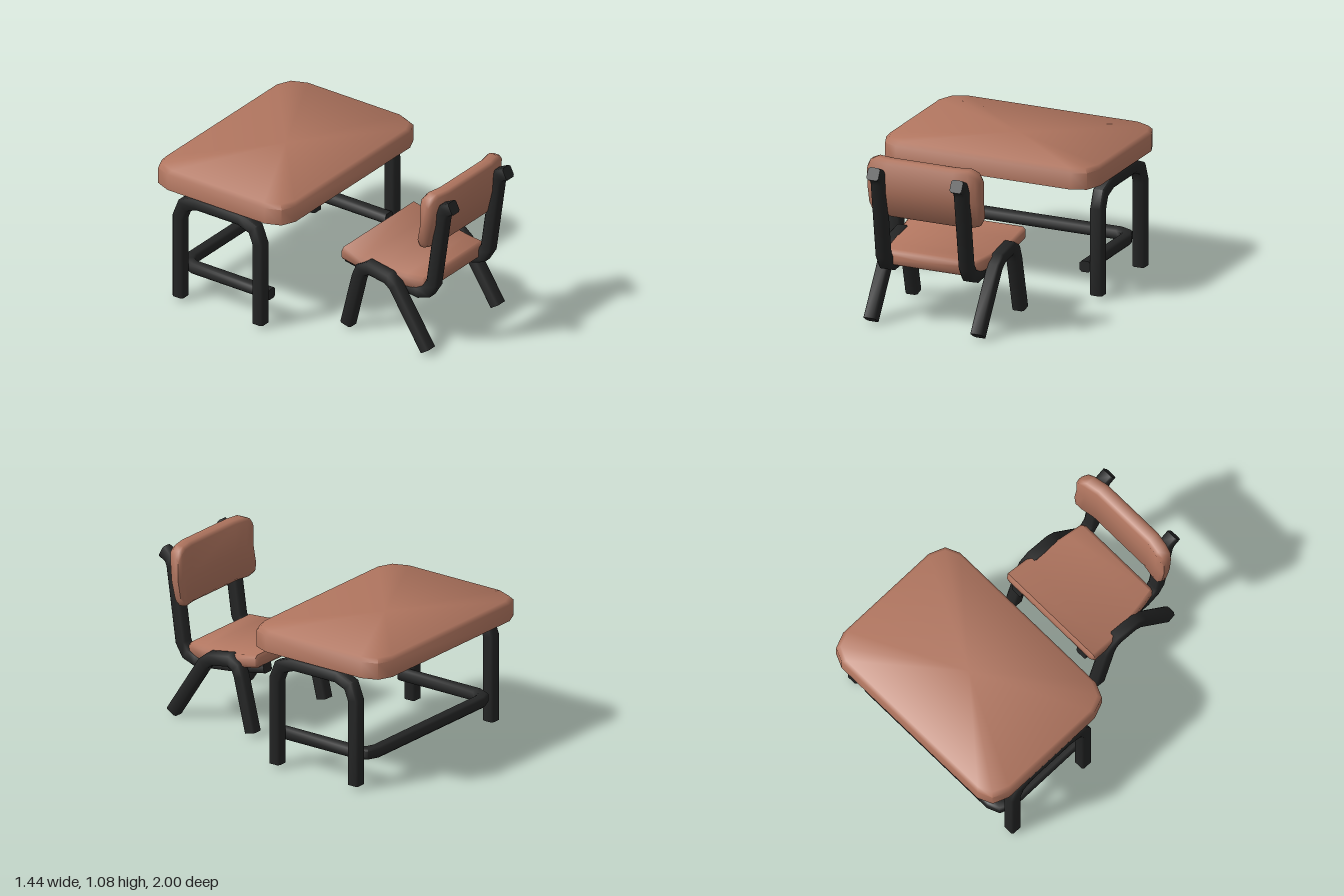
import * as THREE from 'three';
import { toCreasedNormals } from 'three/addons/utils/BufferGeometryUtils.js';

// Skin a list of equal-length closed rings, capping both ends.
function loft(rings) {
  const n = rings[0].length, pts = rings.flat(), idx = [];
  for (let r = 0; r < rings.length - 1; r++) {
    for (let i = 0; i < n; i++) {
      const a = r * n + i, b = r * n + (i + 1) % n;
      idx.push(a, b, b + n, a, b + n, a + n);
    }
  }
  for (const last of [false, true]) {
    const ring = last ? rings[rings.length - 1] : rings[0];
    const base = last ? (rings.length - 1) * n : 0;
    const c = pts.length;
    pts.push(ring.reduce((s, p) => s.add(p), new THREE.Vector3()).divideScalar(n));
    for (let i = 0; i < n; i++) {
      const a = base + i, b = base + (i + 1) % n;
      if (last) idx.push(c, a, b); else idx.push(c, b, a);
    }
  }
  // Turn the faces outward if the rings run the other way
  let volume = 0;
  for (let i = 0; i < idx.length; i += 3) {
    volume += pts[idx[i]].dot(pts[idx[i + 1]].clone().cross(pts[idx[i + 2]]));
  }
  if (volume < 0) idx.reverse();
  const g = new THREE.BufferGeometry().setFromPoints(pts);
  g.setIndex(idx);
  return toCreasedNormals(g, 1.0);
}

// Square rod with chamfered edges along a planar path, mitred at the bends.
function rod(path, binormal, size) {
  const h = size / 2, k = h - 0.012;
  const section = [[h, -k], [h, k], [k, h], [-k, h], [-h, k], [-h, -k], [-k, -h], [k, -h]];
  return loft(path.map((p, i) => {
    const before = p.clone().sub(path[Math.max(i - 1, 0)]).normalize();
    const after = path[Math.min(i + 1, path.length - 1)].clone().sub(p).normalize();
    const t = before.clone().add(after).normalize();
    const stretch = 1 / t.dot(i ? before : after);
    const side = binormal.clone().cross(t).multiplyScalar(stretch);
    return section.map(([u, v]) => p.clone().addScaledVector(side, u).addScaledVector(binormal, v));
  }));
}

const V = (x, y, z) => new THREE.Vector3(x, y, z);
const X = V(1, 0, 0), Y = V(0, 1, 0);

export function createModel() {
  const wood = new THREE.MeshStandardMaterial({ color: 0xb0755f });
  wood.name = 'reddish wood';
  const metal = new THREE.MeshStandardMaterial({ color: 0x242525 });
  metal.name = 'black frame';

  const model = new THREE.Group();
  const desk = new THREE.Group();
  desk.name = 'desk';
  const chair = new THREE.Group();
  chair.name = 'chair';
  model.add(desk, chair);

  const add = (parent, name, geometry, material) => {
    const m = new THREE.Mesh(geometry, material);
    m.name = name;
    parent.add(m);
  };
  // Rod lying in an upright plane at x, from [z, y] points
  const sideRod = (parent, name, x, zy) =>
    add(parent, name, rod(zy.map(([z, y]) => V(x, y, z)), X, 0.08), metal);

  // Desk top: cut-corner outline with a soft upper edge
  const topRing = (y, inset) => {
    const a = 0.72 - inset, b = 0.505 - inset;
    const corner = [[a, b - 0.14], [a - 0.04, b - 0.04], [a - 0.13, b]];
    const flip = (sx, sz) => corner.map(([x, z]) => V(x * sx, y, z * sz - 0.495));
    return [...flip(1, 1), ...flip(-1, 1).reverse(), ...flip(-1, -1), ...flip(1, -1).reverse()];
  };
  add(desk, 'deskTop', loft([topRing(0.72, 0), topRing(0.825, 0), topRing(0.85, 0.02)]), wood);

  // Desk leg hoops
  const hoop = [[-0.19, 0], [-0.19, 0.55], [-0.225, 0.64], [-0.33, 0.68],
    [-0.66, 0.68], [-0.755, 0.64], [-0.79, 0.55], [-0.79, 0]];
  for (const s of [-1, 1]) sideRod(desk, s > 0 ? 'leftDeskLeg' : 'rightDeskLeg', s * 0.68, hoop);

  // U-shaped stretcher running inside the legs and across the back
  const half = [[0.605, -0.16], [0.605, -0.74], [0.58, -0.8], [0.52, -0.825]];
  const stretcher = [...half, ...half.map(([x, z]) => [-x, z]).reverse()];
  add(desk, 'stretcher', rod(stretcher.map(([x, z]) => V(x, 0.175, z)), Y, 0.07), metal);

  // Chair legs and the rods that carry the seat and backrest
  const chairLeg = [[0.84, 0], [0.6, 0.37], [0.55, 0.41], [0.405, 0.435],
    [0.35, 0.405], [0.325, 0.345], [0.24, 0]];
  const post = [[0.19, 0.418], [0.46, 0.37], [0.72, 0.34], [0.79, 0.365],
    [0.83, 0.43], [0.9, 0.915], [0.922, 0.962], [0.977, 0.99]];
  for (const s of [-1, 1]) {
    const side = s > 0 ? 'left' : 'right';
    sideRod(chair, side + 'ChairLegs', s * 0.36, chairLeg);
    sideRod(chair, side + 'BackPost', s * 0.28, post);
  }

  // Seat: cross-sections [z, half width, top, bottom]
  const seat = [[0.19, 0.365, 0.49, 0.44], [0.205, 0.38, 0.51, 0.425], [0.35, 0.375, 0.477, 0.395],
    [0.5, 0.352, 0.453, 0.37], [0.65, 0.328, 0.445, 0.352], [0.76, 0.31, 0.445, 0.345],
    [0.78, 0.295, 0.43, 0.36]];
  add(chair, 'seat', loft(seat.map(([z, w, t, b]) => {
    const c = 0.018;
    return [[w, b + c], [w, t - c], [w - c, t], [c - w, t], [-w, t - c], [-w, b + c], [c - w, b], [w - c, b]]
      .map(([x, y]) => V(x, y, z));
  })), wood);

  // Backrest: upright cross-sections [x, bottom, top, forward shift, inset]
  const ends = [[0.38, 0.73, 1.0, 0.03, 0.015], [0.355, 0.692, 1.04, 0.025, 0.003],
    [0.31, 0.68, 1.06, 0.017, 0], [0.22, 0.68, 1.06, 0, 0]];
  const back = [...ends, ...ends.map(([x, ...rest]) => [-x, ...rest]).reverse()];
  const front = y => 0.81 - 0.18 * Math.max(0, 0.85 - y);
  const rear = y => 0.89 + (y > 0.85 ? 0.07 : 0.24) * (y - 0.85);
  add(chair, 'backrest', loft(back.map(([x, y0, y1, shift, inset]) => {
    const c = 0.02;
    const rows = [[y0, c], [y0 + c, 0], [0.85, 0], [y1 - c, 0], [y1, c]];
    return [
      ...rows.map(([y, d]) => V(x, y, front(y) + d + inset - shift)),
      ...rows.map(([y, d]) => V(x, y, rear(y) - d - inset - shift)).reverse(),
    ];
  })), wood);

  return model;
}
